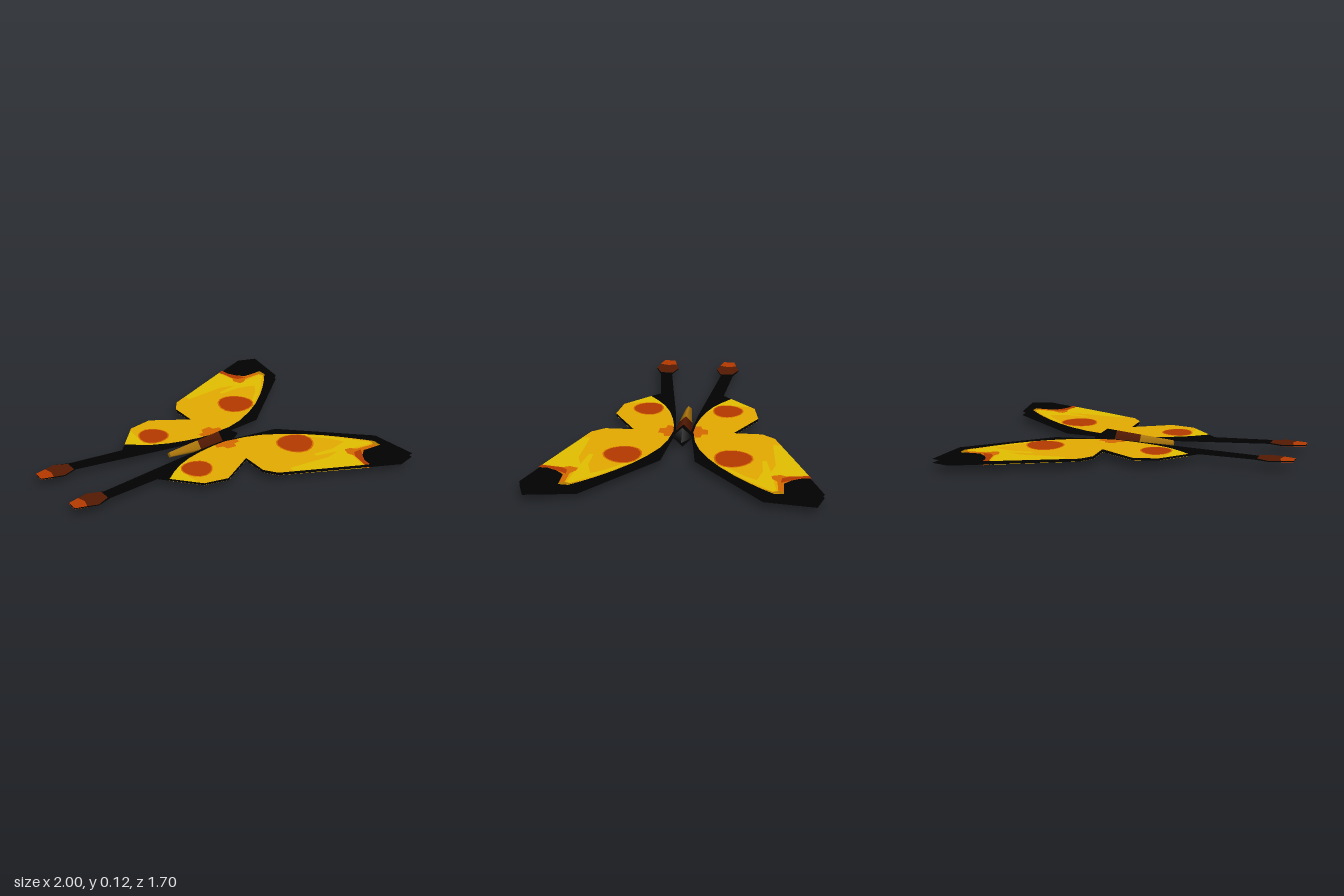
import * as THREE from 'three';

const MID = 0.0625; // height of the body axis

// outlines are [x, distance from the body axis]
const OUTLINE = [
  [0.13, 0.045], [0.3, 0.072], [0.5, 0.1], [0.96, 0.515], [1, 0.812], [0.885, 0.85],
  [0.19, 0.552], [0.135, 0.475], [0.135, 0.302], [-0.09, 0.44], [-0.24, 0.41],
  [-0.375, 0.26], [-0.43, 0.2], [-0.77, 0.238], [-0.865, 0.273], [-1, 0.235],
  [-1, 0.165], [-0.865, 0.128], [-0.77, 0.163], [-0.43, 0.115], [-0.1, 0.068],
];
const FORE_FIELD = [
  [0.1, 0.062], [0.18, 0.066], [0.28, 0.082], [0.38, 0.115], [0.5, 0.18], [0.6, 0.25],
  [0.7, 0.338], [0.78, 0.42], [0.85, 0.5], [0.905, 0.57], [0.9, 0.625], [0.76, 0.6],
  [0.7, 0.62], [0.67, 0.763], [0.19, 0.552], [0.135, 0.475], [0.135, 0.302], [0.1, 0.28],
];
const HIND_FIELD = [
  [0.135, 0.062], [0.05, 0.066], [-0.05, 0.084], [-0.15, 0.112], [-0.24, 0.152],
  [-0.31, 0.198], [-0.38, 0.255], [-0.24, 0.41], [-0.09, 0.44], [0.135, 0.302],
];
const FORE_GLOW = [
  [0.5, 0.188], [0.6, 0.262], [0.7, 0.353], [0.78, 0.437], [0.835, 0.51], [0.88, 0.56],
  [0.865, 0.585], [0.75, 0.565], [0.69, 0.6], [0.66, 0.758], [0.45, 0.666], [0.28, 0.59],
  [0.28, 0.545], [0.4, 0.555], [0.55, 0.57], [0.64, 0.545], [0.5, 0.515], [0.5, 0.49],
  [0.64, 0.5], [0.75, 0.47], [0.7, 0.39], [0.62, 0.31],
];
const HIND_GLOW = [
  [-0.15, 0.114], [-0.24, 0.154], [-0.31, 0.2], [-0.378, 0.256], [-0.26, 0.385],
  [-0.27, 0.3], [-0.26, 0.21],
];
// warm edging between the yellow field and the dark wing tip
const TIP_EDGE = [
  [0.67, 0.763], [0.69, 0.64], [0.672, 0.6], [0.69, 0.55], [0.725, 0.555], [0.76, 0.585],
  [0.83, 0.592], [0.88, 0.595], [0.88, 0.625], [0.78, 0.622], [0.735, 0.665],
  [0.705, 0.72], [0.7, 0.776],
];
const TIP_EDGE_DARK = [
  [0.67, 0.763], [0.69, 0.65], [0.715, 0.61], [0.77, 0.605], [0.735, 0.665], [0.705, 0.72], [0.7, 0.776],
];
const TIP_CORNER = [[0.85, 0.5], [0.905, 0.57], [0.905, 0.628], [0.875, 0.625], [0.875, 0.592], [0.888, 0.565]];
const ROOT_PATCH = [
  [0.07, 0.066], [0.06, 0.1], [0.1, 0.11], [0.11, 0.145], [0.17, 0.15], [0.18, 0.115],
  [0.22, 0.11], [0.22, 0.075], [0.15, 0.06],
];
const TAIL_BROWN = [[-0.785, 0.236], [-0.865, 0.273], [-0.93, 0.254], [-0.93, 0.146], [-0.865, 0.128], [-0.785, 0.158]];
const TAIL_TIP = [[-0.93, 0.254], [-1, 0.235], [-1, 0.165], [-0.93, 0.146], [-0.915, 0.2]];

// slightly uneven round spot
function spot(cx, cz, r) {
  return Array.from({ length: 16 }, (_, i) => {
    const a = (i / 16) * Math.PI * 2;
    const k = r * (1 + 0.04 * Math.cos(3 * a + 1));
    return [cx + k * Math.cos(a), cz + k * Math.sin(a)];
  });
}

// one face of a wing layer; the skins part toward the front and close toward the tips
function skin(points, side, face, level) {
  const geo = new THREE.ShapeGeometry(new THREE.Shape(points.map(([x, z]) => new THREE.Vector2(x, z))));
  const p = geo.attributes.position;
  for (let i = 0; i < p.count; i++) {
    const x = p.getX(i), z = p.getY(i);
    p.setXYZ(i, x, MID + face * (0.003 + 0.006 * (x + 1) - 0.004 * z + level * 0.0007), side * z);
  }
  // keep each skin facing outward
  if (side * face > 0) {
    const idx = geo.index.array;
    for (let i = 0; i < idx.length; i += 3) [idx[i], idx[i + 1]] = [idx[i + 1], idx[i]];
  }
  geo.computeVertexNormals();
  return geo;
}

export function createModel() {
  // the wing skins are open sheets, so both sides are drawn
  const mat = (name, color) => {
    const m = new THREE.MeshStandardMaterial({ color, side: THREE.DoubleSide });
    m.name = name;
    return m;
  };
  const black = mat('black', 0x010101);
  const yellow = mat('deep yellow', 0xe6ac00);
  const light = mat('light yellow', 0xe4c000);
  const amber = mat('amber', 0xb87c00);
  const orange = mat('orange', 0xd86a00);
  const rust = mat('rust', 0xb63a00);
  const brown = mat('dark brown', 0x561a02);
  const tan = mat('tan', 0xb47c0c);

  const model = new THREE.Group();
  model.name = 'butterfly';

  // wings: painted layers stacked on a dark outline
  const layers = [
    ['wingBase', OUTLINE, black, 0],
    ['foreField', FORE_FIELD, yellow, 1],
    ['hindField', HIND_FIELD, yellow, 1],
    ['foreGlow', FORE_GLOW, light, 2],
    ['hindGlow', HIND_GLOW, light, 2],
    ['tipEdge', TIP_EDGE, orange, 3],
    ['tipEdgeDark', TIP_EDGE_DARK, rust, 4],
    ['tipCorner', TIP_CORNER, amber, 4],
    ['rootPatch', ROOT_PATCH, orange, 3],
    ['foreSpotRim', spot(0.49, 0.321, 0.116), orange, 3],
    ['foreSpot', spot(0.49, 0.321, 0.107), rust, 4],
    ['hindSpotRim', spot(-0.18, 0.246, 0.096), orange, 3],
    ['hindSpot', spot(-0.18, 0.246, 0.088), rust, 4],
    ['tailBrown', TAIL_BROWN, brown, 1],
    ['tailTip', TAIL_TIP, rust, 2],
  ];
  for (const side of [1, -1]) {
    const wing = new THREE.Group();
    wing.name = side > 0 ? 'frontWing' : 'backWing';
    for (const [name, points, material, level] of layers) {
      for (const face of [1, -1]) {
        const mesh = new THREE.Mesh(skin(points, side, face, level), material);
        mesh.name = name + (face > 0 ? 'Top' : 'Underside');
        wing.add(mesh);
      }
    }
    model.add(wing);
  }

  // body: four-sided tapering sections along x
  const sections = [
    ['abdomen', -0.22, 0.018, -0.015, 0.0397, tan],
    ['thorax', -0.015, 0.0397, 0.14, 0.0561, brown],
    ['neck', 0.14, 0.0561, 0.2, 0.0625, black],
    ['head', 0.2, 0.0625, 0.283, 0.002, black],
  ];
  for (const [name, x0, r0, x1, r1, material] of sections) {
    const open = name !== 'abdomen';
    const geo = new THREE.CylinderGeometry(r1, r0, x1 - x0, 4, 1, open);
    geo.rotateZ(-Math.PI / 2);
    const mesh = new THREE.Mesh(geo, material);
    mesh.name = name;
    mesh.position.set((x0 + x1) / 2, MID, 0);
    model.add(mesh);
  }
  return model;
}
